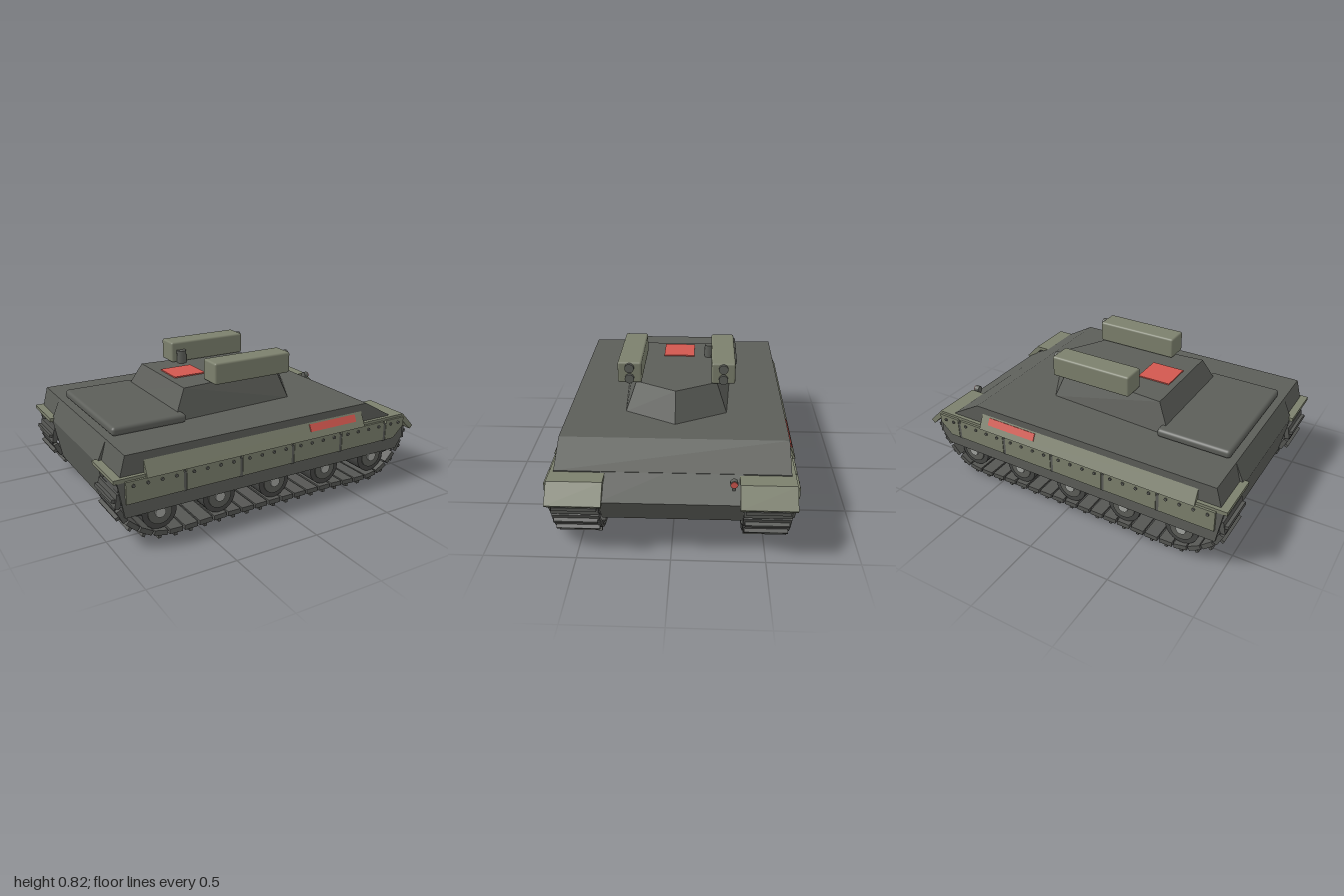
import * as THREE from 'three';
import { RoundedBoxGeometry } from 'three/addons/geometries/RoundedBoxGeometry.js';
import { ConvexGeometry } from 'three/addons/geometries/ConvexGeometry.js';

const mat = (name, color) => {
  const m = new THREE.MeshStandardMaterial({ color });
  m.name = name;
  return m;
};

export function createModel() {
  const hullGrey = mat('hull grey', 0x5c5e59);
  const olive = mat('olive panel', 0x7c806d);
  const trackGrey = mat('track grey', 0x555653);
  const tyreGrey = mat('tyre dark grey', 0x454644);
  const hubGrey = mat('hub light grey', 0xa3a5a0);
  const red = mat('red marking', 0xd2584f);

  const model = new THREE.Group();
  model.name = 'trackedVehicle';

  const add = (name, geo, material, x = 0, y = 0, z = 0, parent = model) => {
    const mesh = new THREE.Mesh(geo, material);
    mesh.name = name;
    mesh.position.set(x, y, z);
    parent.add(mesh);
    return mesh;
  };
  const box = (w, h, d) => new THREE.BoxGeometry(w, h, d);
  const shapeOf = (pts) => new THREE.Shape(pts.map(([x, y]) => new THREE.Vector2(x, y)));
  // side profile (x, y) pulled across z
  const slab = (pts, za, zb) => new THREE.ExtrudeGeometry(shapeOf(pts), { depth: Math.abs(zb - za), bevelEnabled: false })
    .translate(0, 0, Math.min(za, zb));
  // cross-section (z, y) pulled along x
  const beam = (pts, x0, x1) => new THREE.ExtrudeGeometry(shapeOf(pts.map(([z, y]) => [-z, y])), { depth: x1 - x0, bevelEnabled: false })
    .rotateY(Math.PI / 2).translate(x0, 0, 0);
  const discZ = (r, w, n = 24) => new THREE.CylinderGeometry(r, r, w, n).rotateX(Math.PI / 2);
  const discX = (r, w, n = 16) => new THREE.CylinderGeometry(r, r, w, n).rotateZ(-Math.PI / 2);

  // Hull tub between the tracks, and the wide upper hull above them
  add('hullTub', slab([[-0.925, 0.515], [-0.98, 0.39], [-0.93, 0.135], [0.83, 0.135], [0.97, 0.32], [0.62, 0.515]], -0.38, 0.38), hullGrey);
  add('upperHull', slab([[-0.925, 0.517], [-0.965, 0.37], [0.81, 0.37], [0.81, 0.411], [0.625, 0.517]], -0.63, 0.63), hullGrey);
  add('engineDeck', new RoundedBoxGeometry(0.44, 0.05, 0.76, 3, 0.02), hullGrey, -0.667, 0.542, 0);

  // Turret with a pointed nose
  const ring = (y, xr, zr, xf, zf, tip) => [[xr, zr], [xr, -zr], [xf, zf], [xf, -zf], [tip, 0]]
    .map(([x, z]) => new THREE.Vector3(x, y, z));
  add('turret', new ConvexGeometry([
    ...ring(0.515, -0.505, 0.34, 0.29, 0.295, 0.455),
    ...ring(0.685, -0.415, 0.285, 0.235, 0.235, 0.37),
  ]), hullGrey);
  add('roofMarking', box(0.2, 0.008, 0.19), red, -0.275, 0.688, 0);
  add('periscope', new THREE.CylinderGeometry(0.03, 0.03, 0.09, 12), hullGrey, -0.185, 0.718, -0.19);

  // Lamp on the nose
  add('lampBody', discX(0.021, 0.03), hullGrey, 0.888, 0.402, -0.325);
  add('lampLens', discX(0.018, 0.008), red, 0.904, 0.402, -0.325);
  add('lampPost', box(0.015, 0.05, 0.015), hullGrey, 0.888, 0.375, -0.325);

  // Closed track path
  const path = new THREE.CatmullRomCurve3([
    [-0.74, 0.035], [-0.35, 0.035], [0, 0.035], [0.35, 0.035], [0.72, 0.035], [0.82, 0.085], [0.9, 0.18], [0.935, 0.28], [0.88, 0.345],
    [0.45, 0.345], [0, 0.345], [-0.45, 0.345], [-0.88, 0.345], [-0.965, 0.29], [-0.955, 0.19], [-0.86, 0.09],
  ].map(([x, y]) => new THREE.Vector3(x, y, 0)), true, 'centripetal');
  const links = 46;

  for (const s of [1, -1]) {
    const side = new THREE.Group();
    side.name = s > 0 ? 'leftSide' : 'rightSide';
    model.add(side);
    const put = (name, geo, material, x = 0, y = 0, z = 0) => add(name, geo, material, x, y, z * s, side);

    // Missile box with two tubes
    put('launcherBox', new RoundedBoxGeometry(0.51, 0.126, 0.138, 2, 0.012), olive, 0.01, 0.75, 0.271);
    for (const y of [0.718, 0.782]) put('launchTube', discX(0.027, 0.05), hullGrey, 0.26, y, 0.271);

    // Fender with drooping front flap
    put('fender', slab([[-1, 0.383], [0.885, 0.383], [0.98, 0.292], [1, 0.312], [0.91, 0.405], [-1, 0.405]], 0.357 * s, 0.652 * s), olive);

    // Sloped upper side panel and its marking
    put('slopedPanel', beam([[0.629 * s, 0.475], [0.672 * s, 0.388], [0.629 * s, 0.388]], -0.825, 0.588), olive);
    const mark = put('sideMarking', box(0.33, 0.045, 0.008), red, 0.365, 0.445, 0.6455);
    mark.rotation.x = -0.459 * s;

    // Lower guard plate behind the skirts
    put('guardPlate', slab([[-0.98, 0.385], [-0.945, 0.185], [0.87, 0.185], [0.92, 0.26], [0.9, 0.385]], 0.636 * s, 0.65 * s), hullGrey);

    // Riveted skirt panels
    for (let i = 0; i < 5; i++) {
      const x0 = -0.94 + i * 0.341;
      put('skirtPanel', box(0.322, 0.123, 0.016), olive, x0 + 0.161, 0.327, 0.657);
      put('skirtJoint', box(0.018, 0.11, 0.012), hullGrey, x0 + 0.331, 0.316, 0.657);
      for (let j = 0; j < 4; j++) put('rivet', discZ(0.009, 0.01, 8), hullGrey, x0 + 0.04 + j * 0.08, 0.363, 0.667);
    }
    put('frontSkirt', slab([[0.765, 0.265], [0.83, 0.265], [0.905, 0.335], [0.905, 0.39], [0.765, 0.39]], 0.649 * s, 0.665 * s), olive);
    for (const x of [0.8, 0.86]) put('rivet', discZ(0.009, 0.01, 8), hullGrey, x, 0.363, 0.667);

    // Road wheels
    for (let i = 0; i < 5; i++) {
      const x = -0.735 + i * 0.361;
      put('tyre', discZ(0.1, 0.19), tyreGrey, x, 0.15, 0.51);
      put('wheelDisc', discZ(0.07, 0.206), hullGrey, x, 0.15, 0.51);
      put('hub', discZ(0.03, 0.222, 16), hubGrey, x, 0.15, 0.51);
    }
    // Drive wheel and idler
    for (const x of [0.81, -0.845]) {
      put('endWheel', discZ(0.085, 0.2), tyreGrey, x, 0.24, 0.51);
      put('endWheelHub', discZ(0.03, 0.22, 16), hubGrey, x, 0.24, 0.51);
    }

    // Track links, each with an outward rib
    const track = new THREE.Group();
    track.name = 'track';
    side.add(track);
    for (let i = 0; i < links; i++) {
      const p = path.getPointAt(i / links), t = path.getTangentAt(i / links);
      const link = new THREE.Group();
      link.name = 'trackLink';
      link.position.set(p.x, p.y, 0.504 * s);
      link.rotation.z = Math.atan2(t.y, t.x);
      add('plate', box(0.078, 0.028, 0.252), trackGrey, 0, 0, 0, link);
      add('rib', box(0.018, 0.022, 0.235), trackGrey, 0, -0.024, 0, link);
      add('pin', box(0.03, 0.01, 0.2), tyreGrey, 0.045, 0, 0, link);
      track.add(link);
    }
  }
  return model;
}
